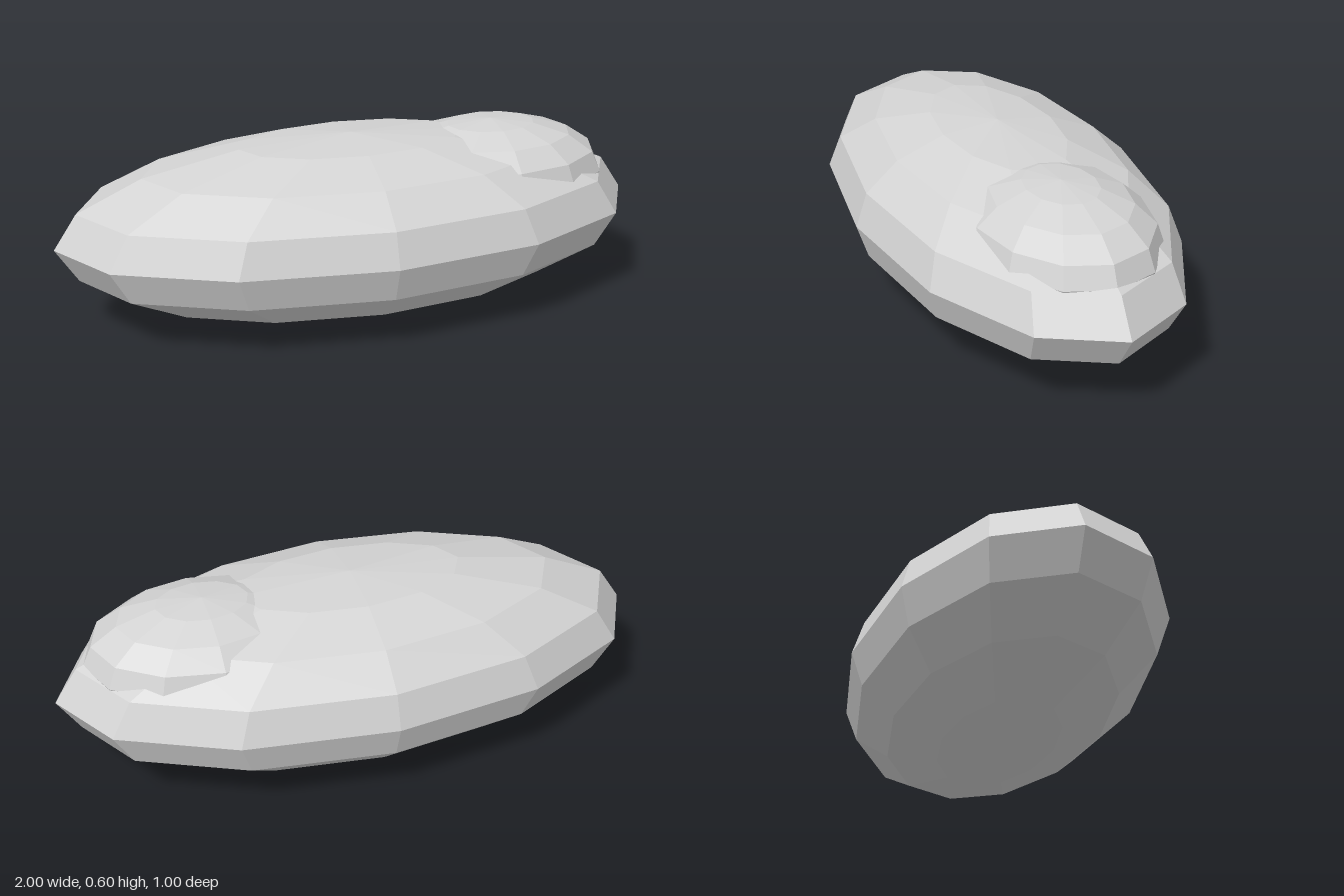
import * as THREE from 'three';

export function createModel() {
  const model = new THREE.Group();
  const stone = new THREE.MeshStandardMaterial({ color: 0xd3d3d3, flatShading: true });
  stone.name = 'light grey';

  // Faceted ellipsoid with baked radii
  function addEllipsoid(name, radii, position) {
    const geometry = new THREE.SphereGeometry(1, 12, 8).scale(...radii);
    const mesh = new THREE.Mesh(geometry, stone);
    mesh.name = name;
    mesh.position.set(...position);
    model.add(mesh);
  }

  // Long flattened body
  addEllipsoid('body', [1, 0.3, 0.5], [0, 0.3, 0]);
  // Low dome set into the upper surface towards +x
  addEllipsoid('dome', [0.4, 0.18, 0.3], [0.5, 0.42, 0]);

  return model;
}
